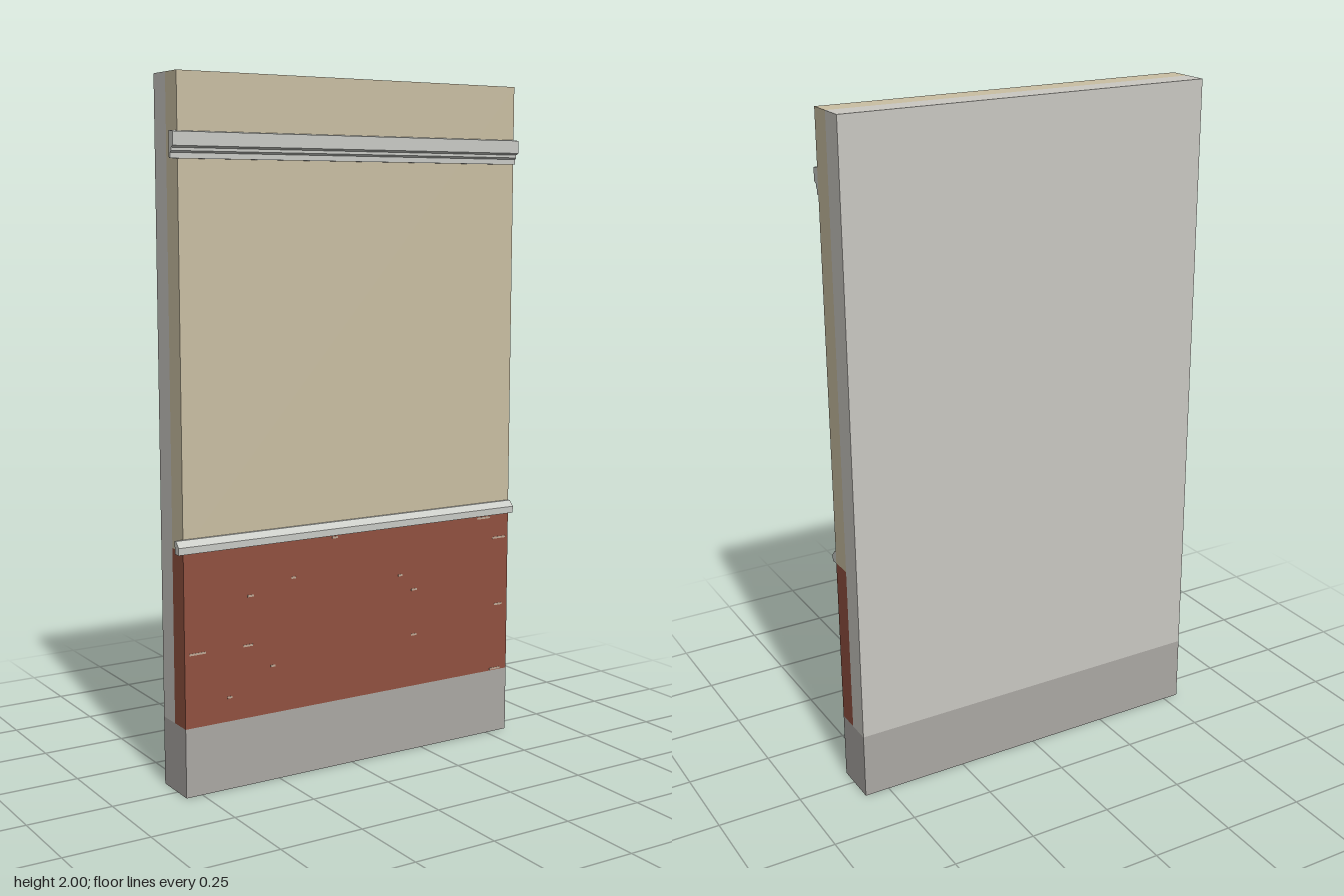
import * as THREE from 'three';

const LEFT = 0.575, RIGHT = -0.55;        // wall ends in x
const BACK = -0.081, SPLIT = -0.01, FRONT = 0.057; // wall layers in z

function material(name, color) {
  const m = new THREE.MeshStandardMaterial({ color });
  m.name = name;
  return m;
}

export function createModel() {
  const group = new THREE.Group();
  const plaster = material('beige plaster', 0xcabfa3);
  const brick = material('red brick', 0x915140);
  const mortar = material('pale mortar', 0xbfa794);
  const concrete = material('plinth grey', 0xaba8a4);
  const backing = material('backing grey', 0xcac8c2);
  const stone = material('trim stone', 0xc9cbc6);

  const box = (name, mat, x0, x1, y0, y1, z0, z1) => {
    const mesh = new THREE.Mesh(new THREE.BoxGeometry(x1 - x0, y1 - y0, z1 - z0), mat);
    mesh.position.set((x0 + x1) / 2, (y0 + y1) / 2, (z0 + z1) / 2);
    mesh.name = name;
    group.add(mesh);
  };

  // Moulding: a [z, y] profile run along x, overhanging the wall's right end
  const moulding = (name, profile) => {
    const shape = new THREE.Shape(profile.map(([z, y]) => new THREE.Vector2(z, y)));
    const geo = new THREE.ExtrudeGeometry(shape, { depth: 1.15, bevelEnabled: false });
    geo.rotateY(-Math.PI / 2).translate(LEFT, 0, 0);
    const mesh = new THREE.Mesh(geo, stone);
    mesh.name = name;
    group.add(mesh);
  };

  // Wall layers
  box('plinth', concrete, RIGHT, LEFT, 0, 0.2, BACK, FRONT);
  box('backWall', backing, RIGHT, LEFT, 0.2, 2, BACK, SPLIT);
  box('brickFacing', brick, RIGHT, LEFT, 0.2, 0.705, SPLIT, FRONT);
  box('plasterFacing', plaster, RIGHT, LEFT, 0.705, 2, SPLIT, FRONT);

  // Upper and lower mouldings
  moulding('upperMoulding', [
    [FRONT, 1.77], [0.066, 1.77], [0.066, 1.785], [0.071, 1.79],
    [0.071, 1.798], [0.081, 1.803], [0.081, 1.84], [FRONT, 1.843],
  ]);
  moulding('lowerMoulding', [
    [FRONT, 0.703], [0.081, 0.703], [0.081, 0.723], [0.065, 0.74], [FRONT, 0.74],
  ]);

  // Small flecks of mortar showing between bricks: x, y, width
  const flecks = [
    [-0.51, 0.412, 0.05], [-0.35, 0.412, 0.03], [0.54, 0.412, 0.03], [0.48, 0.692, 0.05],
    [-0.06, 0.692, 0.02], [0.54, 0.625, 0.05], [0.22, 0.5, 0.02], [0.22, 0.36, 0.02],
    [-0.27, 0.34, 0.015], [-0.2, 0.59, 0.015], [0.17, 0.55, 0.015], [-0.34, 0.555, 0.02],
    [-0.41, 0.27, 0.015], [0.53, 0.205, 0.04],
  ];
  for (const [x, y, w] of flecks) {
    box('mortarFleck', mortar, x - w / 2, x + w / 2, y - 0.003, y + 0.003, FRONT - 0.002, FRONT + 0.001);
  }
  return group;
}
